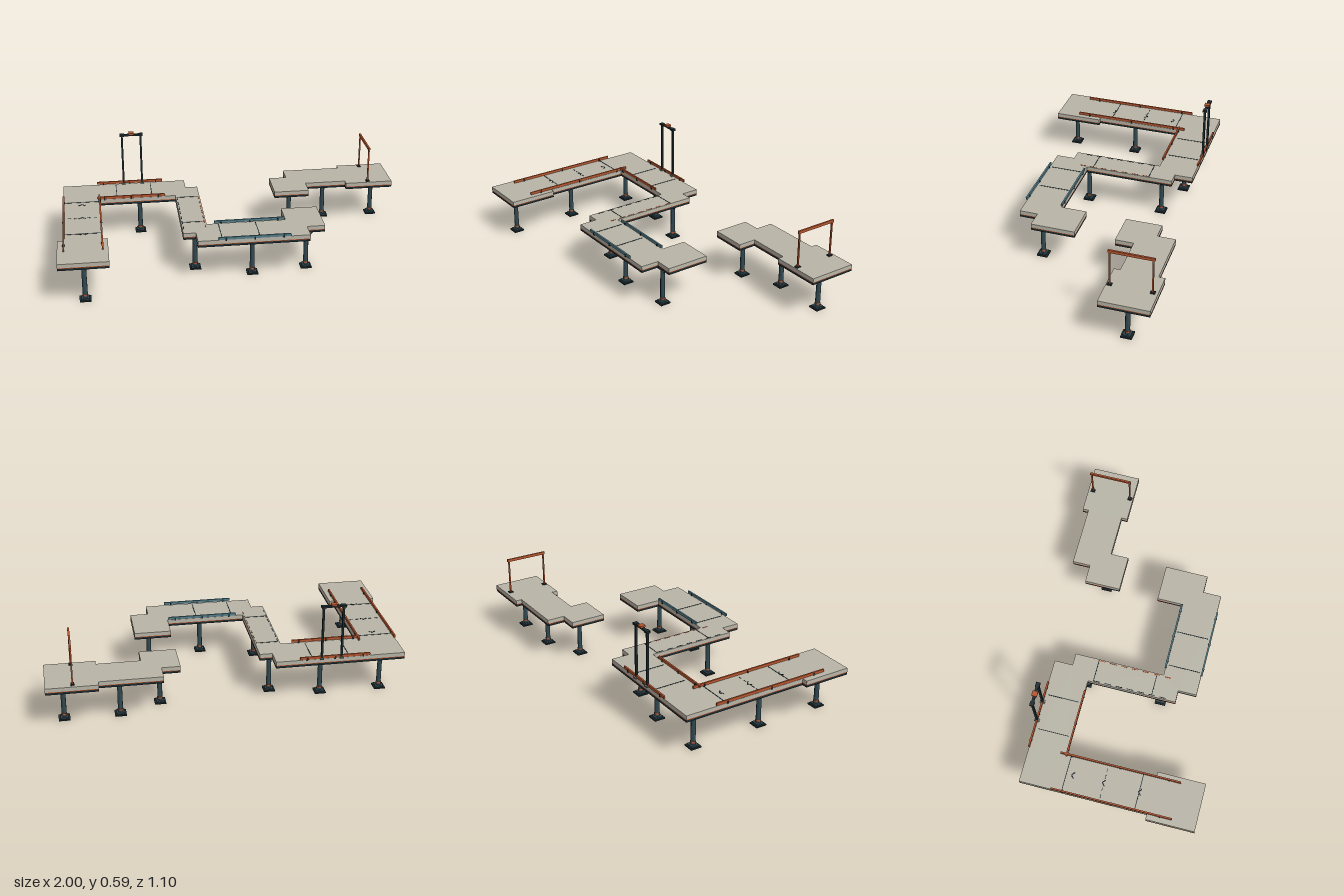
import * as THREE from 'three';

const mat = (name, color, extra = {}) => {
  const m = new THREE.MeshStandardMaterial({ color, ...extra });
  m.name = name;
  return m;
};

export function createModel() {
  const concrete = mat('concrete', 0xb9b5a8);
  const dark = mat('dark steel', 0x1c2a2f);
  const steel = mat('blue grey steel', 0x324a52);
  const orange = mat('rust orange', 0xb8562f);
  const teal = mat('teal', 0x56808d);
  const grey = mat('grey plate', 0x77827f);
  const root = new THREE.Group();
  root.name = 'walkway';
  const TOP = 0.263;

  const group = (name, parent = root) => {
    const g = new THREE.Group();
    g.name = name;
    parent.add(g);
    return g;
  };
  const add = (parent, name, geo, m, x, y, z) => {
    const mesh = new THREE.Mesh(geo, m);
    mesh.name = name;
    mesh.position.set(x, y, z);
    parent.add(mesh);
    return mesh;
  };
  const box = (parent, name, m, w, h, d, x, y, z) =>
    add(parent, name, new THREE.BoxGeometry(w, h, d), m, x, y, z);

  // Layered decks: dark underframe, thin orange band, concrete slab
  const outlines = {
    mainDeck: [[-1, .27], [-.967, .27], [-.967, -.455], [-.245, -.455], [-.245, -.35], [-.175, -.35],
      [-.175, .167], [.27, .167], [.27, .02], [.477, .02], [.477, .27], [.375, .27], [.375, .375],
      [-.245, .375], [-.245, .27], [-.315, .27], [-.315, -.24], [-.755, -.24], [-.755, .27],
      [-.727, .27], [-.727, .545], [-1, .545]],
    islandDeck: [[.272, -.417], [.375, -.417], [.375, -.52], [.72, -.52], [.72, -.555], [1, -.555],
      [1, -.28], [.72, -.28], [.72, -.315], [.477, -.315], [.477, -.21], [.272, -.21]],
  };
  for (const [name, pts] of Object.entries(outlines)) {
    const shape = new THREE.Shape(pts.map(([x, z]) => new THREE.Vector2(x, -z)));
    const deck = group(name);
    for (const [part, m, y0, y1] of [['underframe', dark, .225, .237],
      ['edgeBand', orange, .237, .241], ['slab', concrete, .241, TOP]]) {
      const geo = new THREE.ExtrudeGeometry(shape, { depth: y1 - y0, bevelEnabled: false });
      add(deck, part, geo.rotateX(-Math.PI / 2), m, 0, y0, 0);
    }
  }

  // Support columns with stepped feet, orange collar, head plate and brace
  const shaft = new THREE.CylinderGeometry(.013, .014, .2, 8);
  const columns = [[-.863, .461], [-.863, .07], [-.863, -.343], [-.52, -.343], [-.243, -.275],
    [-.243, .173], [.067, .275], [.377, .24], [.377, -.317], [.603, -.413], [.906, -.413]];
  for (const [x, z] of columns) {
    const c = group('column');
    c.position.set(x, 0, z);
    box(c, 'foot', dark, .062, .008, .062, 0, .004, 0);
    box(c, 'footStep', steel, .044, .008, .044, 0, .012, 0);
    add(c, 'shaft', shaft, steel, 0, .113, 0);
    add(c, 'collar', new THREE.CylinderGeometry(.0155, .0155, .008, 8), orange, 0, .03, 0);
    box(c, 'headPlate', grey, .048, .009, .048, 0, .2175, 0);
    box(c, 'headBlock', steel, .032, .004, .032, 0, .2235, 0);
    const brace = box(c, 'brace', steel, .045, .005, .006, .023, .2, 0);
    brace.rotation.z = Math.PI / 4;
  }

  // Low guard rails along both sides of three lanes
  const rail = (m, alongX, from, to, side) => {
    const len = to - from, mid = (from + to) / 2, r = group('guardRail');
    const place = (name, mt, l, h, w, at, y) => alongX
      ? box(r, name, mt, l, h, w, at, y, side) : box(r, name, mt, w, h, l, side, y, at);
    place('bar', m, len, .015, .009, mid, .2735);
    for (const t of [.1, .5, .9]) place('bracket', dark, .008, .016, .013, from + len * t, .268);
  };
  for (const x of [-.965, -.757]) rail(orange, false, -.275, .41, x);
  for (const z of [-.455, -.24]) rail(orange, true, -.768, -.377, z);
  for (const z of [.167, .377]) rail(teal, true, -.132, .265, z);

  // Deck seams and painted dashes
  const paint = group('deckMarkings');
  const mark = (name, m, w, d, x, z) => box(paint, name, m, w, .002, d, x, TOP + .0005, z);
  for (const x of [-.655, -.45]) mark('seam', dark, .004, .18, x, -.347);
  for (const x of [-.11, .098]) mark('seam', dark, .004, .18, x, .271);
  for (const z of [-.213, .2]) mark('seam', dark, .2, .004, -.861, z);
  for (const z of [-.21, .13]) mark('seam', dark, .13, .004, -.245, z);
  for (const i of [-2, -1, 1, 2]) mark('seamDash', dark, .02, .003, -.861 + i * .037, 0);
  for (let i = 0; i < 7; i++) {
    const z = -.19 + i * .064;
    mark('darkDash', dark, .004, .036, -.307, z);
    mark('orangeDash', orange, .005, .036, -.183, z);
  }
  // Direction chevrons
  for (const z of [-.18, -.005, .2]) {
    for (const s of [-1, 1]) {
      mark('chevron', dark, .024, .006, -.861 + s * .009, z + .004).rotation.y = -s * .7;
    }
  }

  // Tall signal frame at the back edge
  const frame = group('signalFrame');
  frame.position.set(-.552, 0, -.455);
  for (const s of [-1, 1]) {
    box(frame, 'post', dark, .011, .31, .012, s * .055, .417, 0);
    box(frame, 'postFoot', grey, .02, .008, .028, s * .055, TOP + .003, 0);
    box(frame, 'postCap', dark, .026, .012, .024, s * .055, .574, 0);
  }
  box(frame, 'crossbar', dark, .136, .01, .016, 0, .574, 0);
  box(frame, 'lamp', orange, .03, .01, .03, 0, .584, 0);

  // Orange gate across the island
  const gate = group('gate');
  gate.position.set(.855, 0, -.413);
  for (const s of [-1, 1]) {
    box(gate, 'gatePost', orange, .008, .205, .008, 0, .364, s * .114);
    box(gate, 'gateFoot', dark, .02, .007, .026, 0, TOP + .003, s * .114);
  }
  box(gate, 'gateBeam', orange, .01, .016, .246, 0, .471, 0);

  return root;
}
